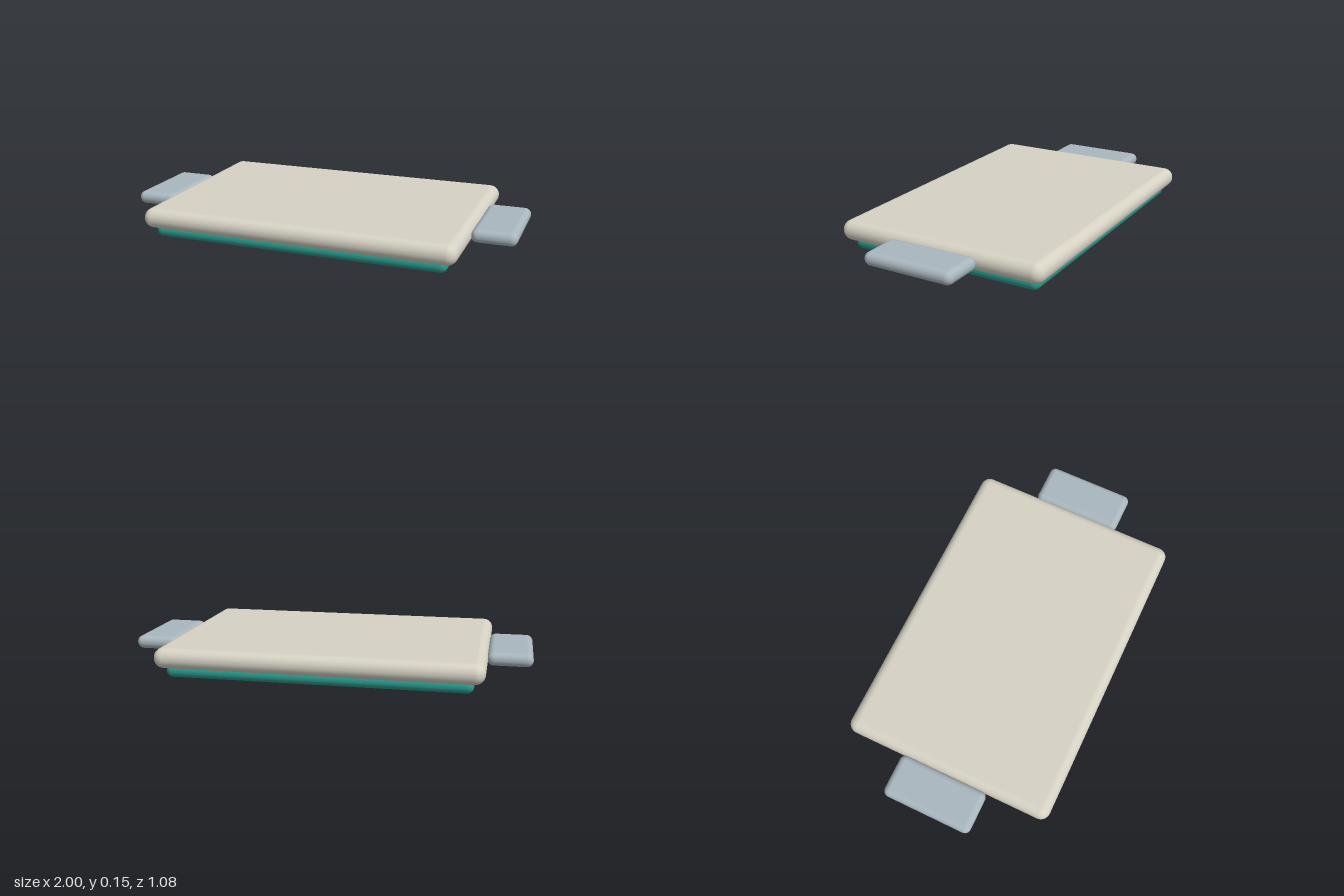
import * as THREE from 'three';
import { RoundedBoxGeometry } from 'three/addons/geometries/RoundedBoxGeometry.js';

const mat = (name, color) => {
  const m = new THREE.MeshStandardMaterial({ color });
  m.name = name;
  return m;
};

export function createModel() {
  const cream = mat('cream', 0xd6d2c4);
  const teal = mat('teal', 0x2a9d8f);
  const steel = mat('blue grey', 0xaab7bf);

  const group = new THREE.Group();
  group.name = 'tray';

  // Rounded slab centred on (x, y, 0)
  const slab = (name, material, w, h, d, r, x, y) => {
    const mesh = new THREE.Mesh(new RoundedBoxGeometry(w, h, d, 4, r), material);
    mesh.name = name;
    mesh.position.set(x, y, 0);
    group.add(mesh);
  };

  // Main board with fully rounded rim
  slab('board', cream, 1.574, 0.1, 1.084, 0.049, 0, 0.1);
  // Thinner base underneath
  slab('base', teal, 1.474, 0.068, 0.996, 0.033, 0, 0.034);
  // Flat handles on both ends
  for (const [name, s] of [['leftHandle', 1], ['rightHandle', -1]]) {
    slab(name, steel, 0.218, 0.066, 0.464, 0.032, s * 0.891, 0.101);
  }
  return group;
}
